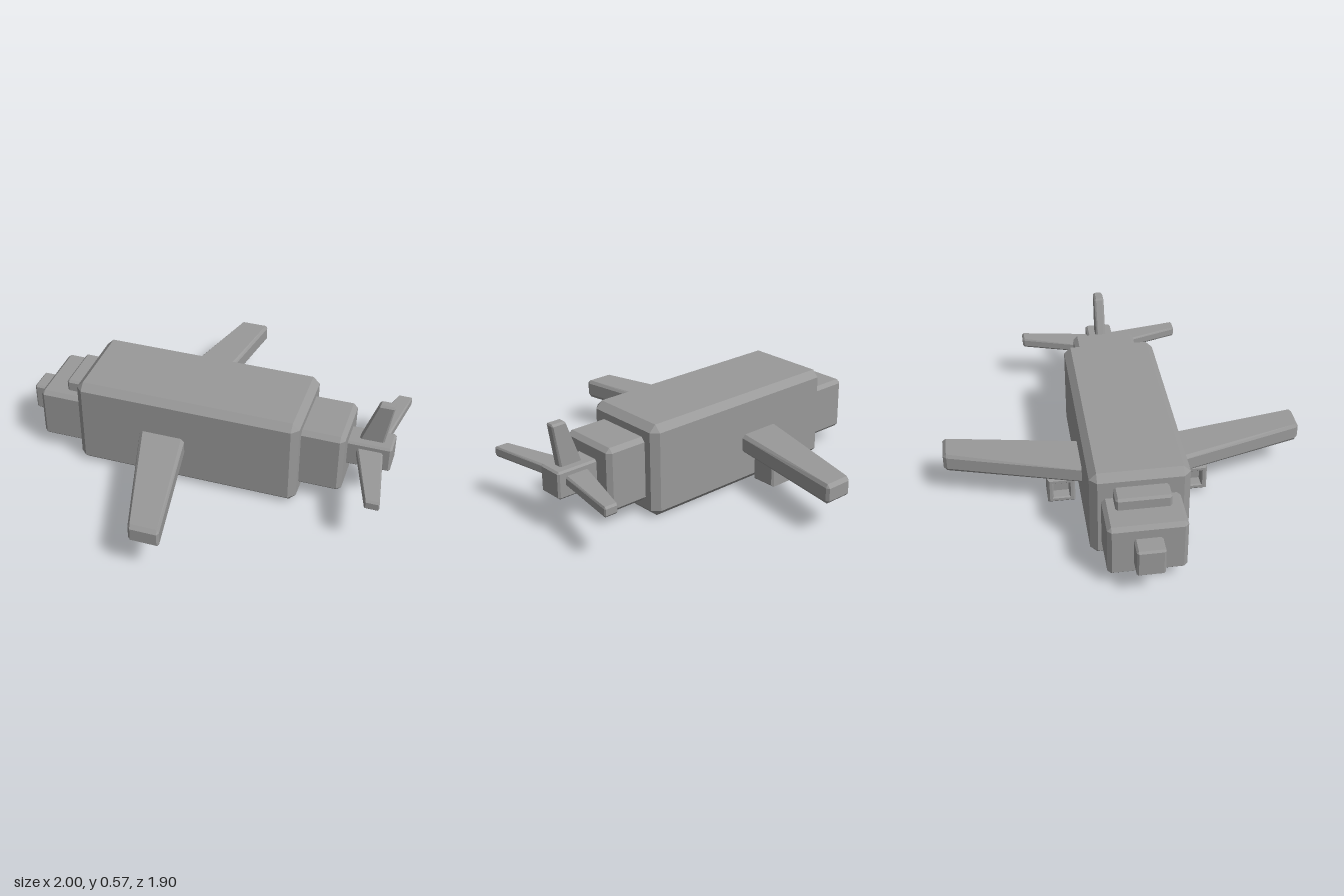
import * as THREE from 'three';
import { ConvexGeometry } from 'three/addons/geometries/ConvexGeometry.js';

const material = new THREE.MeshStandardMaterial({ color: 0x999999, flatShading: true });

// Box between two corners with every edge chamfered by b
function chamferBox([x0, y0, z0], [x1, y1, z1], b, warp = (p) => p) {
  const c = new THREE.Vector3((x0 + x1) / 2, (y0 + y1) / 2, (z0 + z1) / 2);
  const h = new THREE.Vector3(x1 - x0, y1 - y0, z1 - z0).multiplyScalar(0.5);
  const points = [];
  for (const sx of [-1, 1]) for (const sy of [-1, 1]) for (const sz of [-1, 1]) {
    for (const face of [0, 1, 2]) {
      const p = new THREE.Vector3(h.x - b, h.y - b, h.z - b);
      p.setComponent(face, h.getComponent(face));
      points.push(warp(p.multiply(new THREE.Vector3(sx, sy, sz)).add(c)));
    }
  }
  return new ConvexGeometry(points);
}

// Swept blade along z: root and tip are [z, leading x, trailing x]
function blade(root, tip, y0, y1, b) {
  const chord = root[2] - root[1];
  return chamferBox([0, y0, root[0]], [chord, y1, tip[0]], b, (p) => {
    const t = (p.z - root[0]) / (tip[0] - root[0]);
    const lead = THREE.MathUtils.lerp(root[1], tip[1], t);
    const trail = THREE.MathUtils.lerp(root[2], tip[2], t);
    p.x = lead + (trail - lead) * p.x / chord;
    return p;
  });
}

// Square engine pod, solid at the back and hollow at the front (-x)
function enginePod() {
  const profile = [[0, -0.07], [0.062, -0.07], [0.072, -0.06], [0.072, 0.06], [0.062, 0.07],
    [0.048, 0.07], [0.042, 0.063], [0.042, 0.01], [0, 0.01]]
    .map(([r, y]) => new THREE.Vector2(r * Math.SQRT2, y));
  return new THREE.LatheGeometry(profile, 4, Math.PI / 4).rotateZ(Math.PI / 2)
    .scale(1, 1.04, 1);
}

export function createModel() {
  const model = new THREE.Group();
  const add = (name, geometry) => {
    const mesh = new THREE.Mesh(geometry, material);
    mesh.name = name;
    model.add(mesh);
    return mesh;
  };

  // Fuselage blocks, nose to tail
  add('nose', chamferBox([-1, 0.147, -0.07], [-0.87, 0.297, 0.07], 0.01));
  add('frontFuselage', chamferBox([-0.903, 0.078, -0.195], [-0.6, 0.366, 0.195], 0.02));
  add('cockpit', chamferBox([-0.768, 0.33, -0.137], [-0.6, 0.428, 0.137], 0.012));
  add('mainFuselage', chamferBox([-0.672, 0, -0.248], [0.533, 0.496, 0.248], 0.036));
  add('rearFuselage', chamferBox([0.45, 0.077, -0.172], [0.756, 0.422, 0.172], 0.023));
  add('tailBoom', chamferBox([0.7, 0.196, -0.073], [0.983, 0.341, 0.073], 0.01));

  // Tail fin: a blade turned upright
  add('tailFin', blade([0.28, 0.785, 0.925], [0.568, 0.89, 0.97], -0.027, 0.027, 0.01)
    .rotateX(-Math.PI / 2));

  // Mirrored wings, tailplanes and engines
  for (const s of [-1, 1]) {
    const side = s > 0 ? 'left' : 'right';
    const wing = add(side + 'Wing', blade([0.18, -0.334, -0.078], [0.948, -0.107, 0.05], 0.179, 0.282, 0.018));
    const plane = add(side + 'Tailplane', blade([0.03, 0.79, 0.933], [0.455, 0.926, 1], 0.257, 0.311, 0.01));
    wing.scale.z = plane.scale.z = s;
    add(side + 'Engine', enginePod()).position.set(-0.189, 0.1, s * 0.35);
  }
  return model;
}
